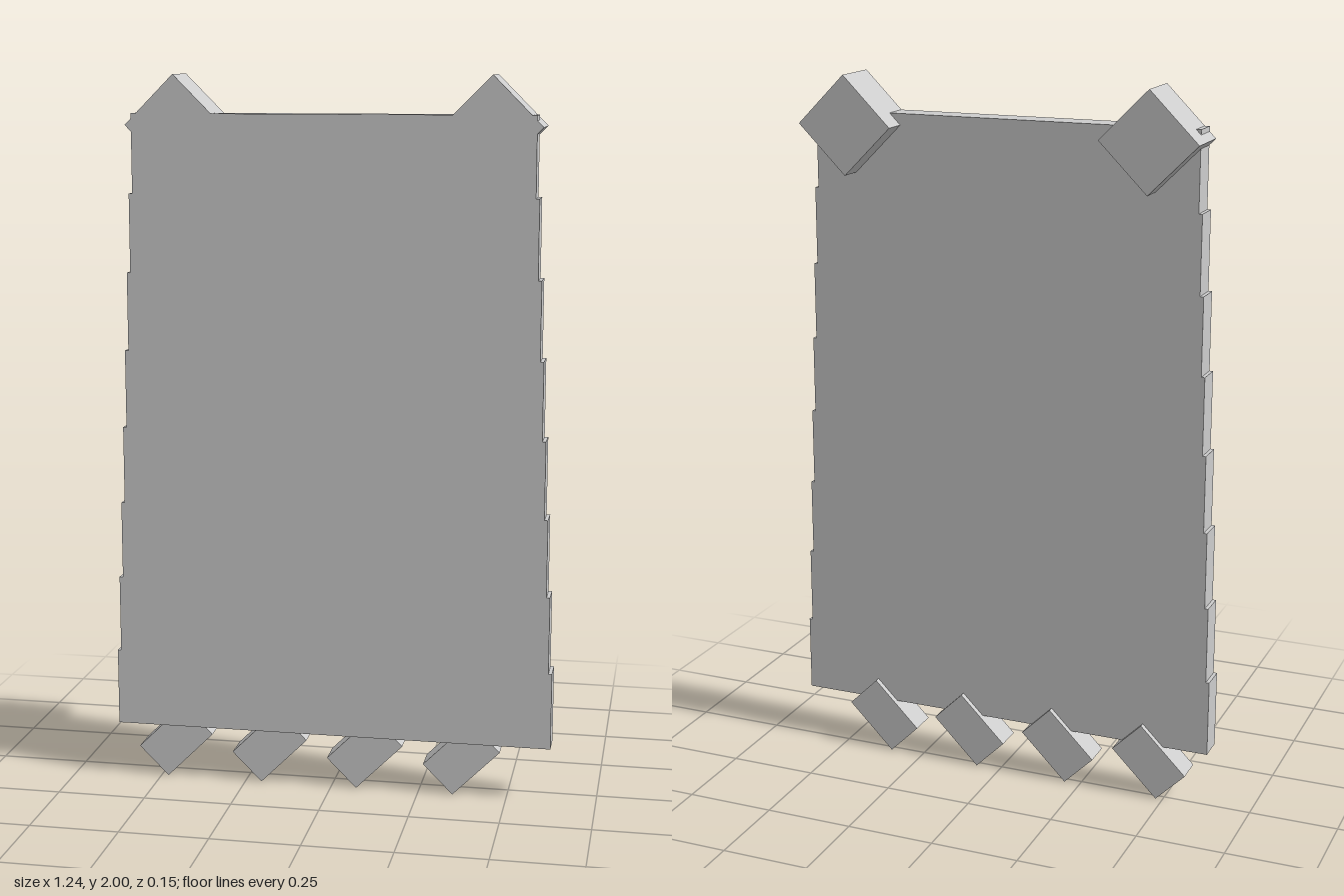
import * as THREE from 'three';

export function createModel() {
  const group = new THREE.Group();
  group.name = 'cape';
  const cloth = new THREE.MeshStandardMaterial({ color: 0xcccccc });
  cloth.name = 'light grey cloth';

  // Cloth panel: a stepped outline, narrowing by one small notch per row
  const rows = 8, bottom = 0.155, rowHeight = 0.2175;
  const right = [];
  for (let i = 0; i < rows; i++) {
    const half = 0.622 - i * 0.0099;
    const y = bottom + i * rowHeight;
    right.push(new THREE.Vector2(half, y), new THREE.Vector2(half, y + rowHeight));
  }
  const left = right.map((p) => new THREE.Vector2(-p.x, p.y)).reverse();
  const panelGeometry = new THREE.ExtrudeGeometry(new THREE.Shape([...right, ...left]), {
    depth: 0.076,
    bevelEnabled: false,
  });
  const panel = new THREE.Mesh(panelGeometry, cloth);
  panel.name = 'clothPanel';
  panel.position.z = -0.003;
  group.add(panel);

  // Blocks turned 45 degrees about the depth axis
  function addTurnedBlock(name, size, x, y, z) {
    const block = new THREE.Mesh(new THREE.BoxGeometry(...size), cloth);
    block.name = name;
    block.position.set(x, y, z);
    block.rotation.z = Math.PI / 4;
    group.add(block);
  }

  // Shoulder clasps
  addTurnedBlock('leftShoulderClasp', [0.193, 0.193, 0.146], 0.434, 1.8635, 0);
  addTurnedBlock('rightShoulderClasp', [0.193, 0.193, 0.146], -0.434, 1.8635, 0);

  // Tatters along the hem
  for (let i = 0; i < 4; i++) {
    addTurnedBlock(`hemTatter${i + 1}`, [0.187, 0.119, 0.083], -0.456 + i * 0.276, 0.108, 0.022);
  }

  return group;
}
